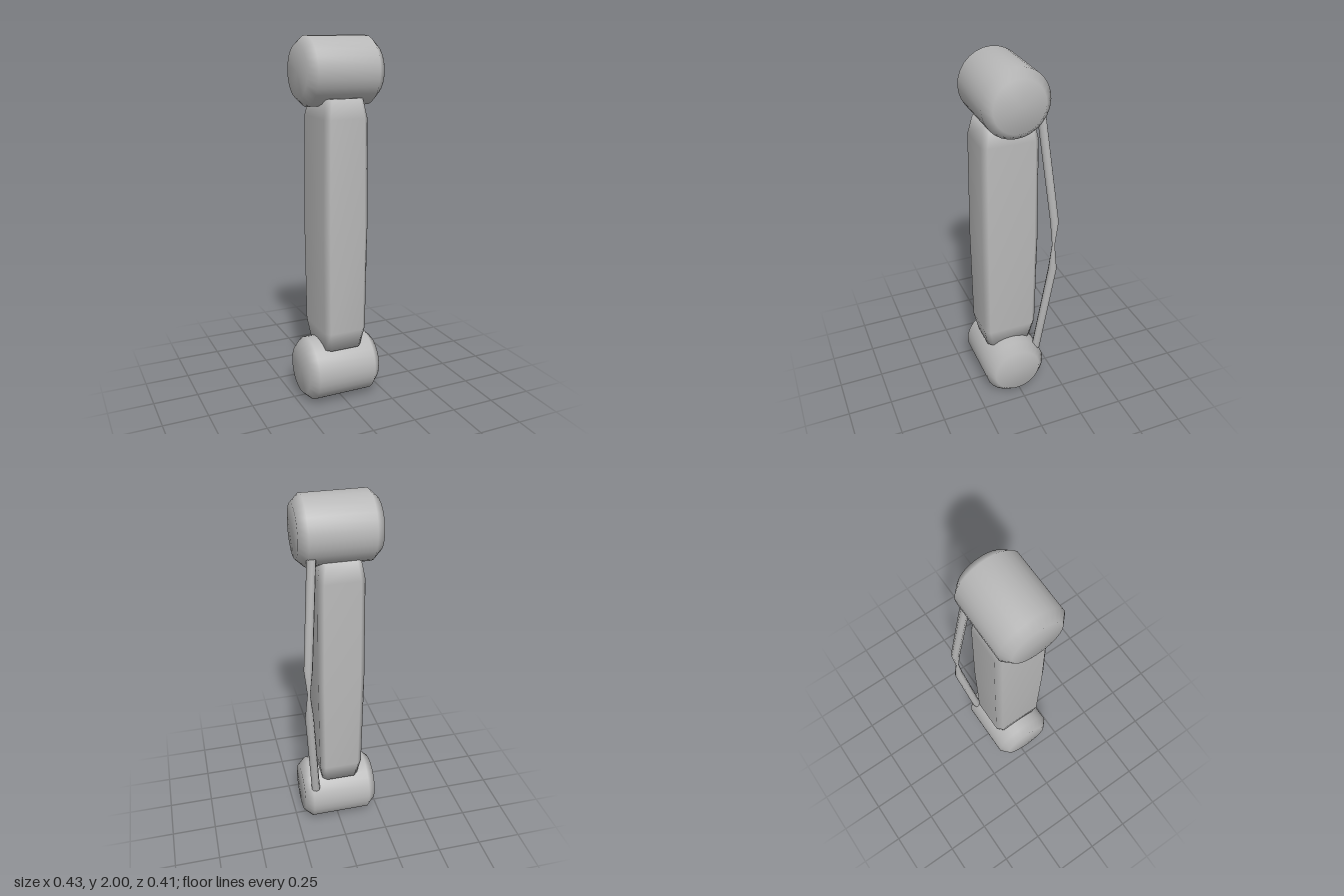
import * as THREE from 'three';

const grey = new THREE.MeshStandardMaterial({ color: 0xb8b8b8 });
grey.name = 'plain grey';

// Smooth closed skin over equal-sized rings of points, running upwards
function loft(rings) {
  const n = rings[0].length;
  const top = rings.length - 1;
  const points = rings.flat();
  const index = [];
  for (let i = 0; i < top; i++) {
    for (let j = 0; j < n; j++) {
      const k = (j + 1) % n;
      const a = i * n + j, b = i * n + k, c = b + n, d = a + n;
      index.push(a, b, c, a, c, d);
    }
  }
  // end caps, as fans round a middle point
  const middle = (ring) => ring.reduce((s, p) => s.add(p), new THREE.Vector3()).divideScalar(n);
  const low = points.push(middle(rings[0])) - 1;
  const high = points.push(middle(rings[top])) - 1;
  for (let j = 0; j < n; j++) {
    const k = (j + 1) % n;
    index.push(low, k, j, high, top * n + j, top * n + k);
  }
  const geometry = new THREE.BufferGeometry().setFromPoints(points);
  geometry.setIndex(index);
  geometry.computeVertexNormals();
  return geometry;
}

function circle(x, y, z, r, sides) {
  return Array.from({ length: sides }, (_, i) => {
    const a = (i / sides) * Math.PI * 2;
    return new THREE.Vector3(x + r * Math.cos(a), y, z - r * Math.sin(a));
  });
}

// Rectangle with cut corners, half sizes w and d
function cutRectangle(y, w, d, cut) {
  const x = -0.007, z = 0.03;
  return [
    [w, -d + cut], [w - cut, -d], [-w + cut, -d], [-w, -d + cut],
    [-w, d - cut], [-w + cut, d], [w - cut, d], [w, d - cut],
  ].map(([px, pz]) => new THREE.Vector3(x + px, y, z + pz));
}

function part(name, geometry) {
  const mesh = new THREE.Mesh(geometry, grey);
  mesh.name = name;
  return mesh;
}

export function createModel() {
  const group = new THREE.Group();
  group.name = 'jointedLimb';

  // Bevelled drums at both ends, lying along x
  const drum = loft([
    [-0.213, 0.136], [-0.168, 0.178], [0.168, 0.178], [0.213, 0.136],
  ].map(([y, r]) => circle(0, y, 0, r, 28)));
  drum.rotateZ(-Math.PI / 2);
  for (const [name, y] of [['lowerDrum', 0.178], ['upperDrum', 1.822]]) {
    const mesh = part(name, drum);
    mesh.position.set(-0.005, y, 0.027);
    group.add(mesh);
  }

  // Upright body, slightly bulging and tapered at the ends
  group.add(part('body', loft([
    [0.32, 0.105, 0.132, 0.025],
    [0.43, 0.122, 0.155, 0.027],
    [1.0, 0.128, 0.16, 0.028],
    [1.59, 0.122, 0.155, 0.027],
    [1.69, 0.105, 0.132, 0.025],
  ].map((r) => cutRectangle(...r)))));

  // Thin bowed rod behind the body, pinched in the middle
  group.add(part('rod', loft([
    [0.146, 0.275, -0.112, 0.024],
    [0.188, 0.85, -0.182, 0.024],
    [0.188, 1.0, -0.182, 0.008],
    [0.188, 1.15, -0.182, 0.024],
    [0.146, 1.73, -0.112, 0.024],
  ].map((r) => circle(...r, 8)))));

  return group;
}
